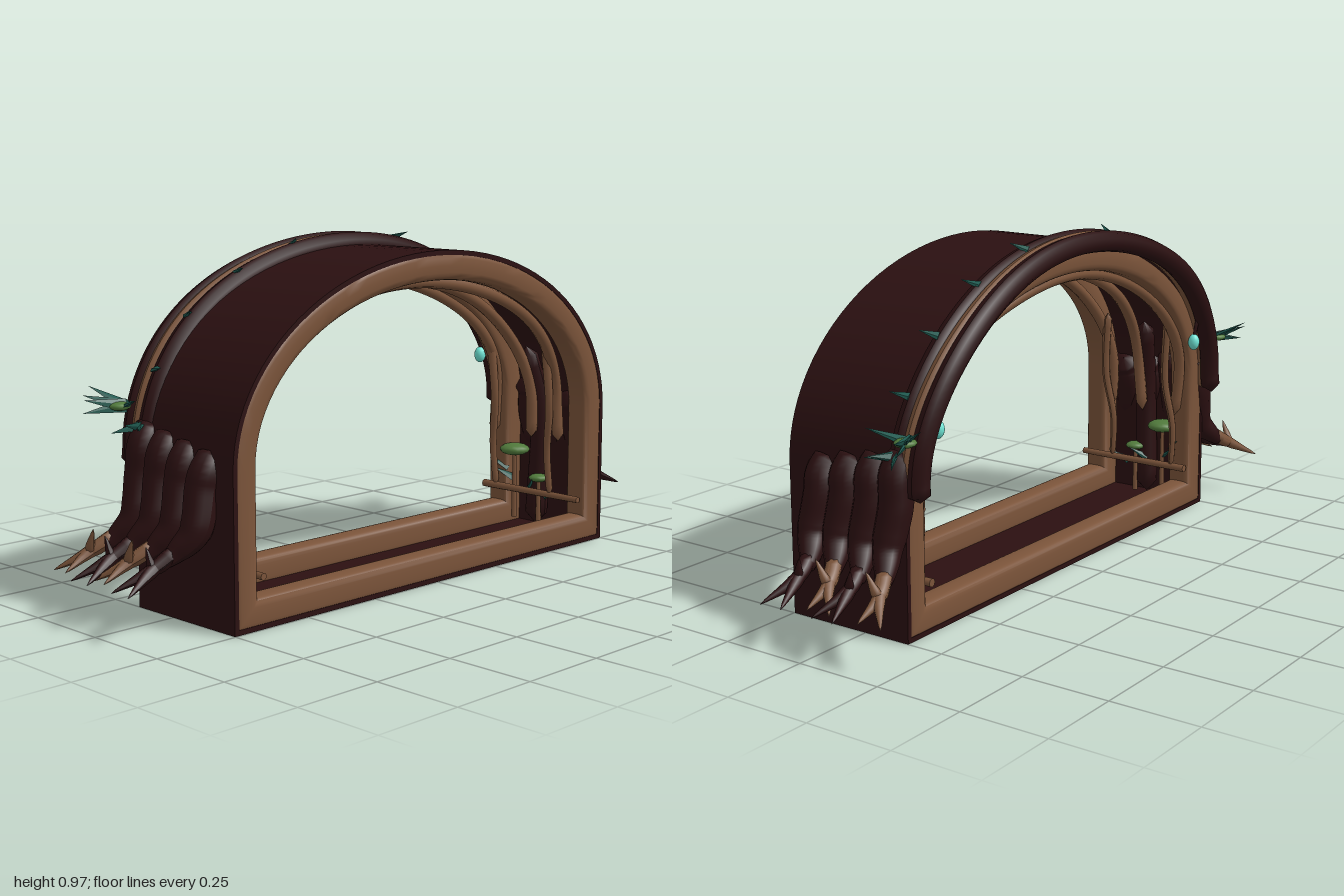
import * as THREE from 'three';
import { toCreasedNormals } from 'three/addons/utils/BufferGeometryUtils.js';

const mat = (name, color) => {
  const m = new THREE.MeshStandardMaterial({ color });
  m.name = name;
  return m;
};
const V = (x, y, z) => new THREE.Vector3(x, y, z);
const SPRING = 0.42; // height where the walls turn into the arch

// D-shaped outline, moved inward by an offset
function outline(o) {
  const pts = [[-(0.75 - o), o], [0.75 - o, o]];
  for (let i = 0; i <= 48; i++) {
    const t = (Math.PI * i) / 48;
    pts.push([(0.75 - o) * Math.cos(t), SPRING + (0.515 - o) * Math.sin(t)]);
  }
  return pts;
}

// Rounded rim swept around the outline
function rimGeometry(zc) {
  const N = 24, pos = [], idx = [];
  const soft = (v) => Math.sign(v) * Math.pow(Math.abs(v), 0.55);
  let count = 0;
  for (let j = 0; j < N; j++) {
    const a = (j / N) * Math.PI * 2;
    const ring = outline(0.0435 - 0.0415 * soft(Math.cos(a)));
    count = ring.length;
    ring.forEach(([x, y]) => pos.push(x, y, zc + 0.04 * soft(Math.sin(a))));
  }
  for (let j = 0; j < N; j++) {
    for (let i = 0; i < count; i++) {
      const k = (i + 1) % count, n = (j + 1) % N;
      const a = j * count + i, b = j * count + k, c = n * count + k, d = n * count + i;
      idx.push(a, b, c, a, c, d);
    }
  }
  const g = new THREE.BufferGeometry();
  g.setAttribute('position', new THREE.Float32BufferAttribute(pos, 3));
  g.setIndex(idx);
  return toCreasedNormals(g, 0.95);
}

// Tube whose radius follows a list of radii, closed at both ends
function taperTube(points, radii, segs = 24, sides = 10) {
  const curve = new THREE.CatmullRomCurve3(points);
  const g = new THREE.TubeGeometry(curve, segs, 1, sides);
  const p = g.attributes.position, v = V(), c = V();
  for (let i = 0; i <= segs; i++) {
    const f = (i / segs) * (radii.length - 1), k = Math.min(Math.floor(f), radii.length - 2);
    const r = i === 0 || i === segs ? 0.0005 : THREE.MathUtils.lerp(radii[k], radii[k + 1], f - k);
    curve.getPointAt(i / segs, c);
    if (i === 0) curve.getPointAt(0.2 / segs, c);
    for (let j = 0; j <= sides; j++) {
      const n = i * (sides + 1) + j;
      v.fromBufferAttribute(g.attributes.normal, n).multiplyScalar(r).add(c);
      p.setXYZ(n, v.x, v.y, v.z);
    }
  }
  g.computeVertexNormals();
  return g;
}

// Points along an arch that dips down both walls
function archPath(a, b, bottom, zAt) {
  const pts = [V(a, bottom, zAt(-0.1))];
  for (let i = 0; i <= 24; i++) {
    const t = (Math.PI * i) / 24;
    pts.push(V(a * Math.cos(t), SPRING + b * Math.sin(t), zAt(i / 24)));
  }
  pts.push(V(-a, bottom, zAt(1.1)));
  return pts;
}

export function createModel() {
  const group = new THREE.Group();
  const bark = mat('darkBark', 0x2b1011);
  const wood = mat('paleWood', 0x7b543a);
  const teal = mat('tealLeaf', 0x1f5a50);
  const moss = mat('mossGreen', 0x517a3c);
  const glow = mat('glowCyan', 0x6fe6d6);

  const add = (name, geo, material) => {
    const m = new THREE.Mesh(geo, material);
    m.name = name;
    group.add(m);
    return m;
  };

  // Flat pointed leaf growing from a base point
  const leaf = (name, base, dir, len, width) => {
    const g = new THREE.ConeGeometry(width, len, 5).toNonIndexed();
    g.scale(1, 1, 0.4);
    g.translate(0, len / 2, 0);
    g.computeVertexNormals();
    const m = add(name, g, teal);
    m.position.copy(base);
    m.quaternion.setFromUnitVectors(V(0, 1, 0), dir.normalize());
  };

  // Mushroom with a thin stem
  const mushroom = (x, y, z, r, stem) => {
    const cap = add('mushroomCap', new THREE.SphereGeometry(r, 14, 8), moss);
    cap.scale.y = 0.4;
    cap.position.set(x, y, z);
    if (stem) {
      add('mushroomStem', new THREE.CylinderGeometry(0.006, 0.009, stem, 8), wood)
        .position.set(x, y - stem / 2, z);
    }
  };

  // Outer shell
  const toV2 = (o) => outline(o).map(([x, y]) => new THREE.Vector2(x, y));
  const shape = new THREE.Shape(toV2(0));
  shape.holes.push(new THREE.Path(toV2(0.014)));
  const shellGeo = new THREE.ExtrudeGeometry(shape, { depth: 0.391, bevelEnabled: false });
  shellGeo.translate(0, 0, -0.143);
  add('archShell', toCreasedNormals(shellGeo, 0.6), bark);

  // Front and back rims
  add('frontRim', rimGeometry(0.21), wood);
  add('backRim', rimGeometry(-0.105), wood);

  // Three wavy vines over the back edge
  const wave = (z, amp, ph) => (t) => z + amp * Math.cos(t * Math.PI * 4 + ph);
  add('frontVine', taperTube(archPath(0.735, 0.52, 0.4, wave(-0.117, 0.007, 0.4)), [0.03, 0.03], 90), bark);
  add('middleVine', taperTube(archPath(0.738, 0.523, 0.375, wave(-0.152, 0.009, 0)), [0.024, 0.024], 90), wood);
  add('backVine', taperTube(archPath(0.735, 0.52, 0.375, wave(-0.183, 0.009, 0.2)), [0.03, 0.03], 90), bark);

  // Inner vines under the arch
  for (const z of [-0.1, 0.03, 0.15]) {
    add('innerVine', taperTube(archPath(0.66, 0.42, 0.3, wave(z, 0.012, z * 20)), [0.018, 0.018], 70, 8), wood);
  }

  for (const s of [-1, 1]) {
    // Roots flowing down each wall, ending in forked claws
    [0.145, 0.06, -0.025, -0.105].forEach((z, i) => {
      const top = 0.45 + i * 0.015;
      const pale = i % 2 === 1;
      add('root', taperTube([
        V(s * 0.715, top, z - 0.01), V(s * 0.745, top - 0.04, z - 0.006), V(s * 0.755, 0.37, z - 0.01),
        V(s * 0.785, 0.26, z - 0.005), V(s * 0.825, 0.21, z - 0.03), V(s * 0.86, 0.18, z - 0.045),
      ], [0.04, 0.047, 0.046, 0.044, 0.034, 0.016], 28, 12), bark);
      const tip = pale
        ? [V(s * 0.96, 0.125, z - 0.125), V(s * 0.97, 0.13, z - 0.06), V(s * 0.9, 0.24, z - 0.03)]
        : [V(s * 0.995, 0.125, z - 0.08), V(s * 0.995, 0.125, z - 0.012), V(s * 0.9, 0.23, z - 0.06)];
      const start = V(s * 0.825, 0.215, z - 0.03);
      const knuckle = V(s * 0.885, 0.175, z - (pale ? 0.06 : 0.045));
      for (const t of tip) {
        add('claw', taperTube([start, knuckle, t], [0.022, 0.017, 0.002], 12, 8), pale ? wood : bark);
      }
    });

    // Hanging vines along the inner wall
    for (const z of [-0.09, 0.13]) {
      add('hangingVine', taperTube([V(s * 0.61, 0.62, z), V(s * 0.62, 0.42, z + 0.012), V(s * 0.637, 0.27, z - 0.008),
        V(s * 0.645, 0.13, z)], [0.014, 0.01], 20, 8), wood);
    }
    add('innerRoot', taperTube([V(s * 0.65, 0.6, 0.02), V(s * 0.7, 0.4, 0.04), V(s * 0.7, 0.02, 0.03)],
      [0.03, 0.035], 16, 10), bark);

    // Twig lying across the sill
    const twig = add('twig', new THREE.CylinderGeometry(0.01, 0.012, 0.38, 8), wood);
    twig.rotation.x = Math.PI / 2;
    twig.position.set(s * 0.645, 0.135, 0.05);

    // Mushrooms and sprouts inside the wall
    mushroom(s * 0.675, 0.255, -0.04, 0.048, 0.22);
    mushroom(s * 0.675, 0.175, 0.06, 0.032, 0.15);
    [[0.14, 0.02], [0.16, -0.05], [0.12, 0.09], [0.19, -0.07]].forEach(([y, z], i) =>
      leaf('sprout', V(s * 0.68, y, z), V(-s * 0.6, 0.5, i % 2 ? -0.7 : 0.6), 0.07, 0.016));

    // Small leaves along the front vine
    [[0.2, 0.945, -0.11], [0.41, 0.88, -0.105], [0.585, 0.775, -0.105], [0.7, 0.64, -0.1]].forEach(([x, y, z], i) =>
      leaf('vineLeaf', V(s * x, y, z - 0.02), V(s * 0.35, 0.25 - i * 0.03, i % 2 ? 0.9 : 0.6), 0.055, 0.016));

    // Leaf clusters at the vine ends
    [[0.09, 0.03, -0.07], [0.1, 0.02, -0.04], [0.05, 0.045, -0.08], [0.07, -0.01, -0.03], [0.03, 0.02, 0.07]]
      .forEach(([x, y, z]) => leaf('clusterLeaf', V(s * 0.765, 0.545, -0.165), V(s * x, y, z), 0.115, 0.02));
    [[0.08, 0.015, 0.03], [0.08, -0.02, -0.05], [0.05, 0.0, 0.06]]
      .forEach(([x, y, z]) => leaf('lowerLeaf', V(s * 0.755, 0.495, -0.115), V(s * x, y, z), 0.08, 0.016));
    mushroom(s * 0.78, 0.545, -0.17, 0.03, 0);

    // Glowing bud below the back vines
    const bud = add('glowBud', new THREE.SphereGeometry(0.018, 14, 10), glow);
    bud.scale.y = 1.4;
    bud.position.set(s * 0.645, 0.55, -0.165);
    add('budStem', taperTube([V(s * 0.645, 0.56, -0.165), V(s * 0.66, 0.62, -0.17), V(s * 0.69, 0.65, -0.18)],
      [0.006, 0.008], 8, 6), bark);
  }
  return group;
}
